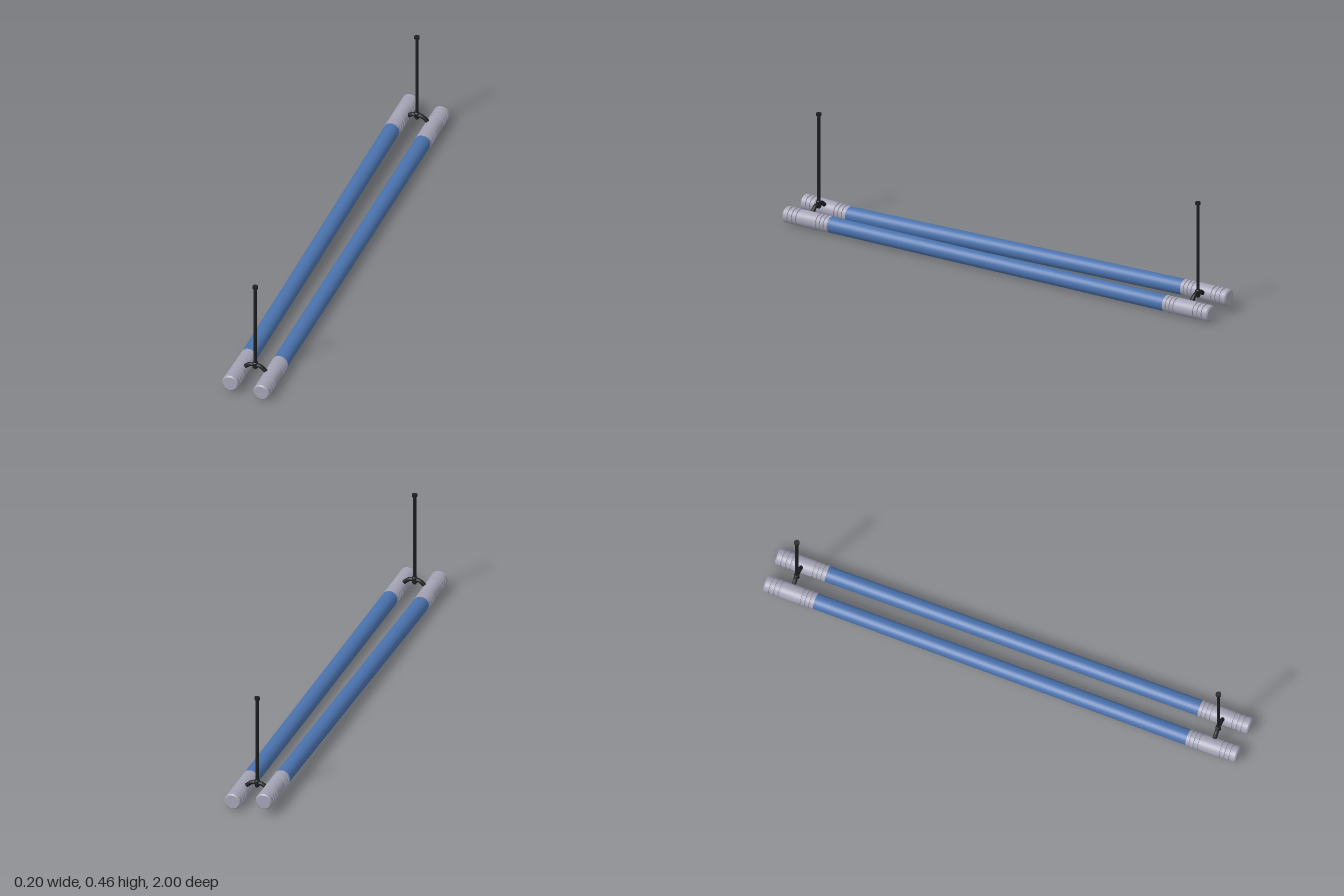
import * as THREE from 'three';

const mat = (color) => new THREE.MeshStandardMaterial({ color });

export function createModel() {
  const model = new THREE.Group();
  const blue = mat(0x4a72ad), grey = mat(0xa3a3b5), black = mat(0x1c1f21);

  const add = (parent, name, geometry, material) => {
    const mesh = new THREE.Mesh(geometry, material);
    mesh.name = name;
    parent.add(mesh);
    return mesh;
  };

  // Lathe from [radius, height] pairs; each straight run gets its own sharp edge
  const lathe = (profile, segments = 32) => {
    const pts = [];
    profile.forEach(([r, h], i) => {
      pts.push(new THREE.Vector2(r, h));
      if (i > 0 && i < profile.length - 1) pts.push(new THREE.Vector2(r, h));
    });
    return new THREE.LatheGeometry(pts, segments);
  };

  // Place a y-aligned mesh so that it runs from a to b
  const span = (mesh, a, b) => {
    const dir = b.clone().sub(a).normalize();
    mesh.quaternion.setFromUnitVectors(new THREE.Vector3(0, 1, 0), dir);
    mesh.position.copy(a);
    return mesh;
  };

  // End fitting profile: grooves near both ends, bevelled outer face
  const R = 0.034, L = 0.212;
  const profile = [[0, 0], [R, 0]];
  for (const h of [0.016, 0.034, 0.052, 0.145, 0.165, 0.185]) {
    profile.push([R, h - 0.003], [R - 0.0035, h - 0.002], [R - 0.0035, h + 0.002], [R, h + 0.003]);
  }
  profile.push([R, L - 0.005], [R - 0.005, L], [0, L]);
  const fittingGeo = lathe(profile);

  // Two long tubes with end fittings: [x, y at front end, front joint, back joint, back end]
  const tubes = [
    ['left', 0.066, 0.036, 0.036, 0.036, 0.036],
    ['right', -0.066, 0.046, 0.036, 0.061, 0.061],
  ];
  for (const [side, x, yFront, yFrontJoint, yBackJoint, yBack] of tubes) {
    const at = (y, z) => new THREE.Vector3(x, y, z);
    const front = at(yFrontJoint, 0.788), back = at(yBackJoint, -0.788);
    const len = front.distanceTo(back);
    const tubeGeo = new THREE.CylinderGeometry(0.0325, 0.0325, len, 32).translate(0, len / 2, 0);
    span(add(model, side + 'Tube', tubeGeo, blue), back, front);
    span(add(model, side + 'FrontFitting', fittingGeo, grey), front, at(yFront, 1));
    span(add(model, side + 'BackFitting', fittingGeo, grey), back, at(yBack, -1));
  }

  // Hanging brackets: rod, top cap, hub and two bent arms
  const rodGeo = new THREE.CylinderGeometry(0.0065, 0.0065, 0.385, 16);
  const capGeo = new THREE.CylinderGeometry(0.011, 0.011, 0.01, 16);
  const hubGeo = lathe([[0, 0.063], [0.006, 0.063], [0.011, 0.07], [0.011, 0.092], [0.008, 0.095], [0, 0.095]], 16);
  for (const [end, z] of [['front', 0.89], ['back', -0.893]]) {
    const bracket = new THREE.Group();
    bracket.name = end + 'Bracket';
    bracket.position.z = z;
    model.add(bracket);
    add(bracket, 'rod', rodGeo, black).position.y = 0.2675;
    add(bracket, 'topCap', capGeo, black).position.y = 0.461;
    add(bracket, 'hub', hubGeo, black);
    for (const s of [1, -1]) {
      const path = new THREE.CatmullRomCurve3([
        [0, 0.081], [0.016, 0.081], [0.026, 0.077], [0.038, 0.067], [0.052, 0.055],
      ].map(([px, py]) => new THREE.Vector3(s * px, py, 0)));
      add(bracket, s > 0 ? 'leftArm' : 'rightArm', new THREE.TubeGeometry(path, 12, 0.0085, 10), black);
    }
  }
  return model;
}
